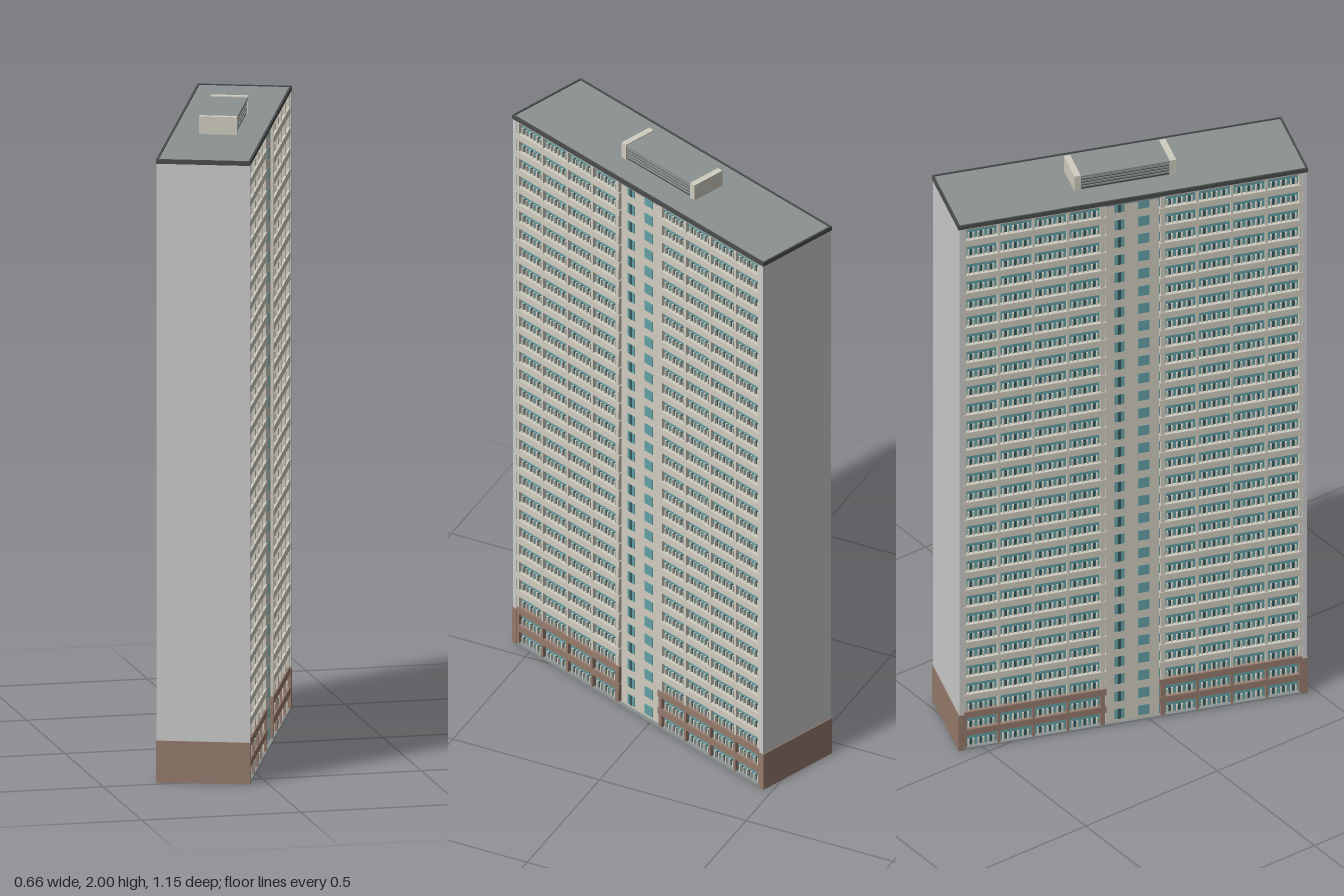
import * as THREE from 'three';
import { mergeGeometries } from 'three/addons/utils/BufferGeometryUtils.js';

const W = 0.29, L = 1.114, H = 1.945, FLOORS = 30, FH = H / FLOORS;
const FACE = W / 2 - 0.002, CORE = 0.085, END = 0.537;

const mat = (color) => new THREE.MeshStandardMaterial({ color, flatShading: true });
const M = {
  wall: mat(0xcccccc), cream: mat(0xd0ccc0), glass: mat(0x63a0a4), dark: mat(0x35565a),
  brown: mat(0x957b6c), roof: mat(0x8c9191), trim: mat(0x4a4c4c),
};

// Box given by its lower and upper corner
function box(x0, x1, y0, y1, z0, z1) {
  return new THREE.BoxGeometry(x1 - x0, y1 - y0, z1 - z0)
    .translate((x0 + x1) / 2, (y0 + y1) / 2, (z0 + z1) / 2);
}

function part(name, geometries, material) {
  const mesh = new THREE.Mesh(mergeGeometries(geometries), material);
  mesh.name = name;
  return mesh;
}

// One long side: two window blocks either side of a recessed stair core
function createFacade() {
  const facade = new THREE.Group();
  facade.name = 'facade';
  const glass = [], panes = [], bands = [], posts = [], baseBands = [], stairs = [], stairPanes = [];
  const back = FACE - 0.014;
  const bay = (END - CORE - 0.011) / 4;

  for (const s of [-1, 1]) {
    const start = s > 0 ? CORE + 0.011 : -END;
    const b0 = s > 0 ? CORE : -L / 2 + 0.012, b1 = s > 0 ? L / 2 - 0.012 : -CORE;
    glass.push(box(back - 0.01, back, 0, H - 0.01, b0, b1));

    // Piers between the bays, brown at the foot
    for (let i = 0; i <= 4; i++) {
      const z = start + i * bay, w = i === 0 || i === 4 ? 0.007 : 0.004;
      posts.push(box(back, FACE - 0.002, 0.13, H - 0.01, z - w, z + w));
      baseBands.push(box(back, FACE - 0.001, 0, 0.13, z - w, z + w));
    }

    for (let f = 0; f < FLOORS; f++) {
      const y = f * FH;
      // Floor band above each window strip
      const top = Math.min(y + FH + 0.008, H - 0.005);
      (f < 2 ? baseBands : bands).push(box(back, FACE, y + 0.05, top, b0, b1));
      // Balustrade posts and darker door panes in each bay
      for (let i = 0; i < 4; i++) {
        const z = start + i * bay;
        for (let k = 1; k < 7; k++) {
          const zp = z + (k * bay) / 7;
          posts.push(box(back, back + 0.007, y + 0.008, y + 0.03, zp - 0.0022, zp + 0.0022));
        }
        for (const k of [1, 3, 5]) {
          const zp = z + ((k + 0.5) * bay) / 7;
          panes.push(box(back, back + 0.001, y + 0.008, y + 0.03, zp - 0.004, zp + 0.004));
        }
      }
    }
  }

  // Stair core with two columns of small windows
  const coreX = FACE - 0.01;
  for (let f = 0; f < FLOORS; f++) {
    const y = f * FH + 0.014;
    stairs.push(box(coreX - 0.002, coreX + 0.001, y, y + 0.036, -0.055, -0.019));
    stairs.push(box(coreX - 0.002, coreX + 0.001, y, y + 0.036, 0.025, 0.057));
    stairPanes.push(box(coreX, coreX + 0.002, y, y + 0.036, 0.036, 0.046));
  }

  facade.add(
    part('windowGlass', glass, M.glass),
    part('doorPanes', panes, M.dark),
    part('floorBands', bands, M.cream),
    part('piersAndBalustrades', posts, M.cream),
    part('baseCladding', baseBands, M.brown),
    part('stairCoreWall', [box(coreX - 0.02, coreX, 0, H - 0.005, -CORE, CORE)], M.cream),
    part('stairWindows', stairs, M.glass),
    part('stairWindowPanes', stairPanes, M.dark),
  );
  return facade;
}

// Blank end wall with its brown plinth and slim corner strips
function createEndWall() {
  const end = new THREE.Group();
  end.name = 'endWall';
  const z0 = L / 2 - 0.018, z1 = L / 2 - 0.003, x = W / 2 - 0.001;
  end.add(
    part('wallPanel', [box(-x, x, 0, H - 0.005, z0, z1)], M.wall),
    part('plinth', [box(-W / 2, W / 2, 0, 0.13, z0 - 0.001, L / 2)], M.brown),
  );
  return end;
}

function createRoof() {
  const roof = new THREE.Group();
  roof.name = 'roof';
  const rim = [], x = W / 2, z = L / 2, t = 0.006;
  for (const s of [-1, 1]) {
    rim.push(new THREE.BoxGeometry(t, 0.014, L).translate(s * (x - t / 2), H - 0.004, 0));
    rim.push(new THREE.BoxGeometry(W, 0.014, t).translate(0, H - 0.004, s * (z - t / 2)));
  }
  // Plant room: pale end blocks joined by a louvred middle
  const blocks = [], louvres = [];
  for (const s of [-1, 1]) {
    blocks.push(new THREE.BoxGeometry(0.117, 2 - H, 0.02).translate(0, (2 + H) / 2, s * 0.152));
    for (let i = 0; i < 4; i++) {
      louvres.push(new THREE.BoxGeometry(0.004, 0.005, 0.284).translate(s * 0.053, H + 0.01 + i * 0.01, 0));
    }
  }
  roof.add(
    part('roofDeck', [box(-x + t, x - t, H - 0.02, H, -z + t, z - t)], M.roof),
    part('parapet', rim, M.trim),
    part('plantRoomEnds', blocks, M.cream),
    part('plantRoomWalls', [box(-0.052, 0.052, H, 1.99, -0.142, 0.142)], M.trim),
    part('plantRoomLouvres', louvres, M.roof),
    part('plantRoomRoof', [box(-0.057, 0.057, 1.99, 1.997, -0.142, 0.142)], M.roof),
  );
  return roof;
}

export function createModel() {
  const model = new THREE.Group();
  model.name = 'towerBlock';
  const tower = new THREE.Group();
  tower.name = 'tower';
  tower.add(part('innerBody', [box(-0.12, 0.12, 0, H - 0.02, -L / 2 + 0.02, L / 2 - 0.02)], M.wall));
  tower.add(part('groundSlab', [box(-FACE, FACE, 0, 0.006, -L / 2 + 0.012, L / 2 - 0.012)], M.roof));
  // Both long sides and both ends match under a half turn
  for (const turn of [0, Math.PI]) {
    for (const make of [createFacade, createEndWall]) {
      const side = make();
      side.rotation.y = turn;
      tower.add(side);
    }
  }
  tower.add(createRoof());
  tower.rotation.y = THREE.MathUtils.degToRad(-20.1);
  model.add(tower);
  return model;
}
